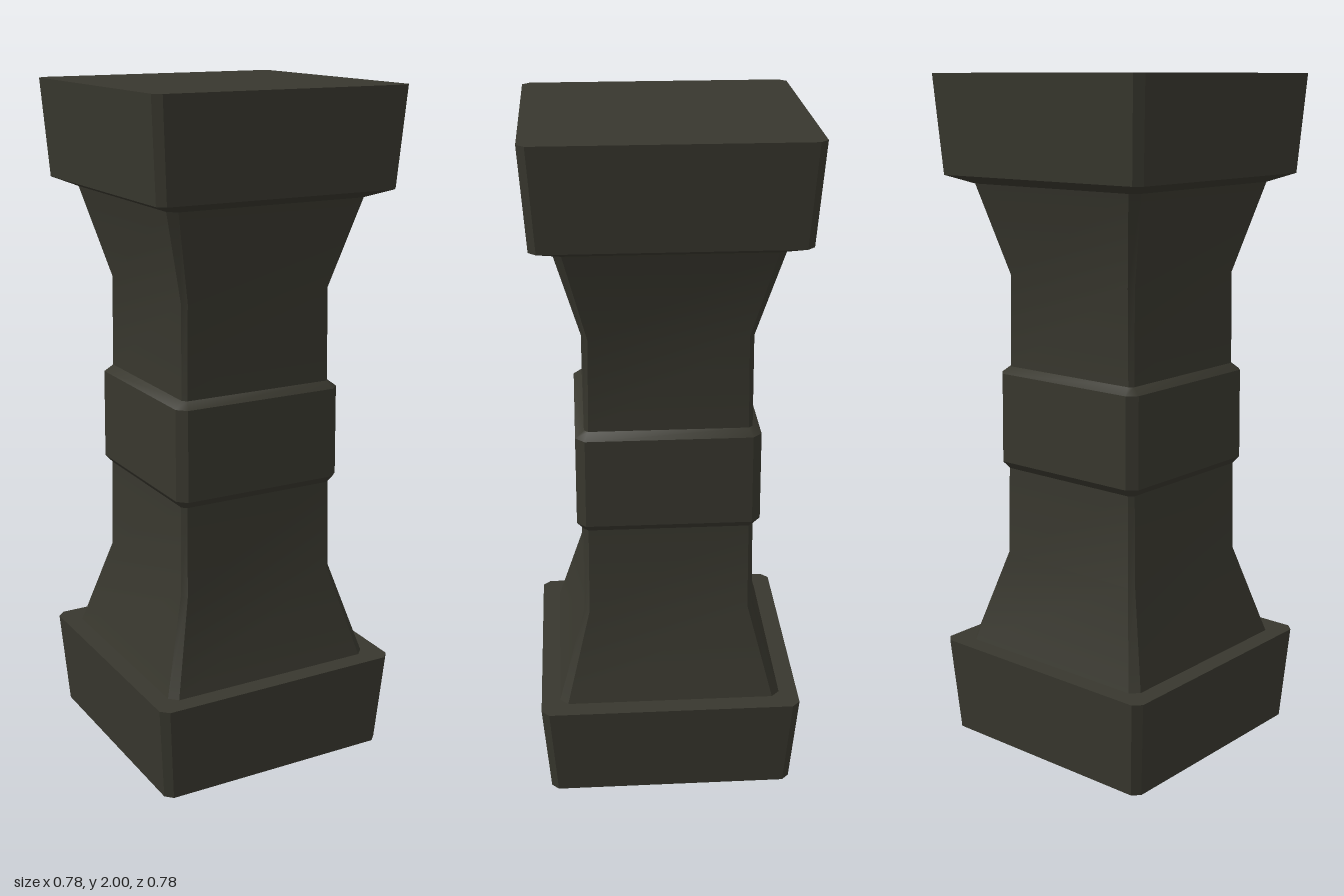
import * as THREE from 'three';
import { toCreasedNormals } from 'three/addons/utils/BufferGeometryUtils.js';

// Chamfered square ring, counter-clockwise seen from above
function ring([y, half, chamfer]) {
  const k = half - chamfer;
  return [[half, k], [half, -k], [k, -half], [-k, -half], [-half, -k], [-half, k], [-k, half], [k, half]]
    .map(([x, z]) => [x, y, z]);
}

// Skin rings of [height, half width, chamfer] from bottom to top
function loft(profile, closeTop = false) {
  const rings = profile.map(ring);
  const positions = [];
  const triangle = (a, b, c) => positions.push(...a, ...b, ...c);
  for (let r = 0; r < rings.length - 1; r++) {
    const low = rings[r], high = rings[r + 1];
    for (let i = 0; i < 8; i++) {
      const j = (i + 1) % 8;
      triangle(low[i], low[j], high[j]);
      triangle(low[i], high[j], high[i]);
    }
  }
  if (closeTop) {
    const top = rings[rings.length - 1];
    for (let i = 1; i < 7; i++) triangle(top[0], top[i], top[i + 1]);
  }
  const geometry = new THREE.BufferGeometry();
  geometry.setAttribute('position', new THREE.Float32BufferAttribute(positions, 3));
  return toCreasedNormals(geometry, THREE.MathUtils.degToRad(28));
}

export function createModel() {
  const group = new THREE.Group();
  group.name = 'pillar';
  const stone = new THREE.MeshStandardMaterial({ color: 0x38372e, side: THREE.DoubleSide });
  stone.name = 'darkStone';

  const add = (name, profile, closeTop) => {
    const mesh = new THREE.Mesh(loft(profile, closeTop), stone);
    mesh.name = name;
    group.add(mesh);
  };

  // Hollow base, open below, with a ledge around the shaft
  add('base', [[0, 0.367, 0.021], [0.29, 0.389, 0.023], [0.29, 0.333, 0.024]]);
  // Shaft flaring down to the base
  add('lowerShaft', [[0.29, 0.333, 0.024], [0.565, 0.252, 0.015], [0.837, 0.247, 0.013]]);
  // Raised band with bevelled rims
  add('band', [[0.837, 0.247, 0.013], [0.86, 0.267, 0.026], [1.13, 0.265, 0.026], [1.15, 0.24, 0.012]]);
  // Shaft flaring up to the cap
  add('upperShaft', [[1.15, 0.24, 0.012], [1.425, 0.238, 0.014], [1.69, 0.312, 0.024]]);
  // Solid-topped cap with a sloping underside
  add('cap', [[1.69, 0.312, 0.024], [1.715, 0.373, 0.021], [2, 0.392, 0.022]], true);

  return group;
}
